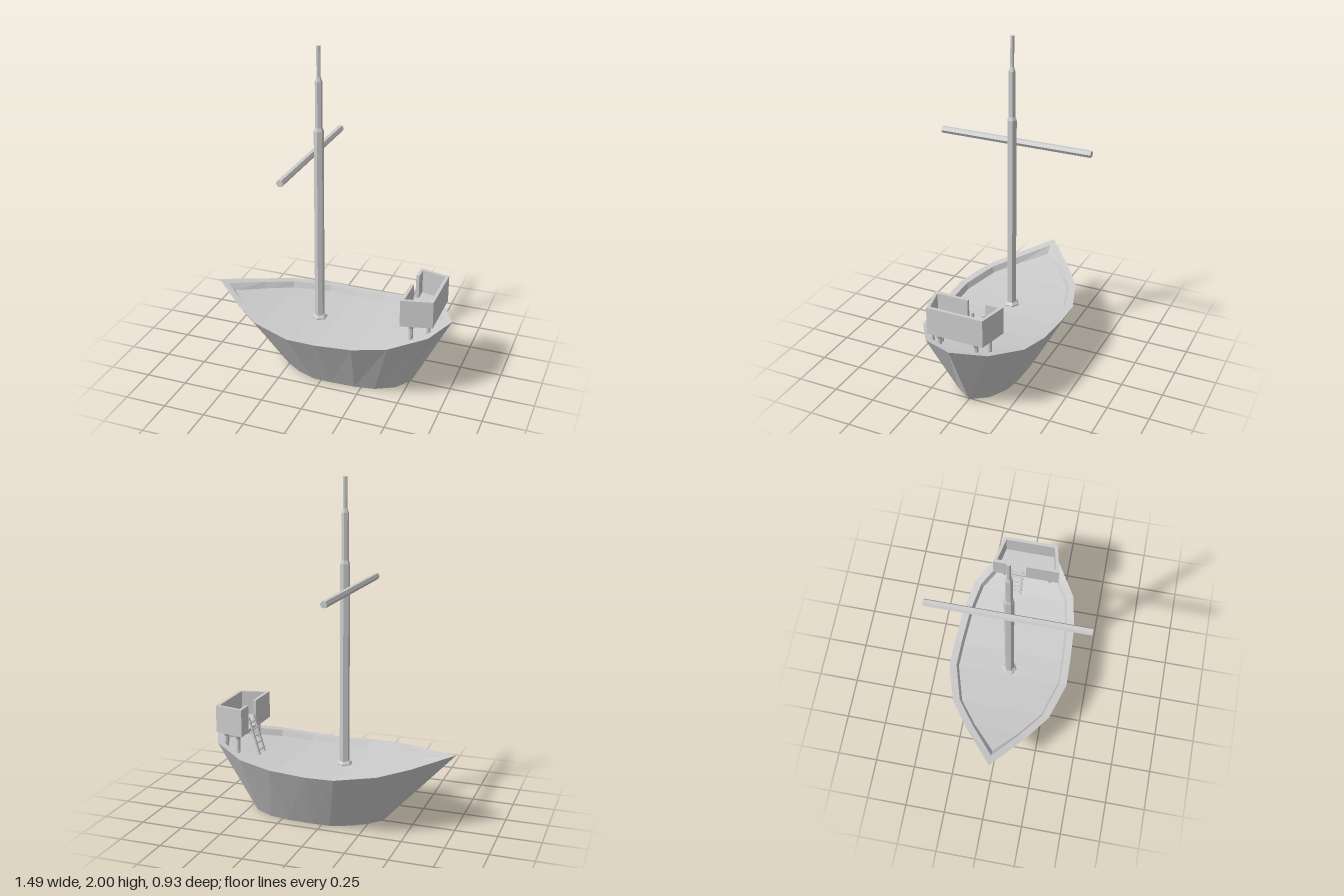
import * as THREE from 'three';

const mat = new THREE.MeshStandardMaterial({ color: 0xcccccc, flatShading: true, side: THREE.DoubleSide });

function add(parent, name, geometry, x = 0, y = 0, z = 0) {
  const mesh = new THREE.Mesh(geometry, mat);
  mesh.name = name;
  mesh.position.set(x, y, z);
  parent.add(mesh);
  return mesh;
}

// Height of the curved sheer line at a given x
const sheer = (x) => 0.357 + (x < 0.03 ? 0.165 : 0.195) * (x - 0.03) ** 2;

// Closed ring from half outline [x, halfWidth], bow to stern and back
function ring(half, height, flat = 1) {
  const right = half.slice(1, -1).reverse().map(([x, w]) => [x, -w]);
  return [...half, ...right].map(([x, w]) => new THREE.Vector3(x, height(x), w * flat));
}

// Hull skin, rim, inner wall and deck lofted through rings
function hullGeometry() {
  const keel = [[-0.32, 0], [-0.25, 0.08], [-0.16, 0.14], [-0.05, 0.183], [0.06, 0.185],
    [0.21, 0.18], [0.33, 0.16], [0.44, 0.1], [0.51, 0]];
  const outer = [[-0.745, 0], [-0.53, 0.185], [-0.37, 0.302], [-0.14, 0.375], [0.03, 0.372],
    [0.25, 0.36], [0.45, 0.32], [0.65, 0.192], [0.74, 0]];
  const inner = [[-0.68, 0], [-0.505, 0.15], [-0.355, 0.263], [-0.13, 0.331], [0.03, 0.329],
    [0.24, 0.317], [0.43, 0.28], [0.615, 0.165], [0.695, 0]];
  const floor = [[-0.64, 0], [-0.495, 0.137], [-0.35, 0.25], [-0.125, 0.318], [0.03, 0.316],
    [0.235, 0.304], [0.425, 0.267], [0.6, 0.155], [0.665, 0]];
  const ground = () => 0;
  const deck = (x) => sheer(x) - 0.035;
  const rings = [ring(keel, ground, 0), ring(keel, ground), ring(outer, sheer),
    ring(inner, sheer), ring(floor, deck), ring(floor, deck, 0)];
  const points = [];
  for (let r = 0; r < rings.length - 1; r++) {
    const a = rings[r], b = rings[r + 1];
    for (let i = 0; i < a.length; i++) {
      const j = (i + 1) % a.length;
      for (const t of [[a[i], a[j], b[j]], [a[i], b[j], b[i]]]) {
        if (new THREE.Triangle(...t).getArea() > 1e-7) points.push(...t);
      }
    }
  }
  const g = new THREE.BufferGeometry().setFromPoints(points);
  g.computeVertexNormals();
  return g;
}

// Horizontal plate from an x/z outline, between two heights
function plate(outline, bottom, top) {
  const shape = new THREE.Shape(outline.map(([x, z]) => new THREE.Vector2(x, z)));
  const g = new THREE.ExtrudeGeometry(shape, { depth: top - bottom, bevelEnabled: false });
  return g.rotateX(Math.PI / 2).translate(0, top, 0);
}

const lathe = (profile, sides) =>
  new THREE.LatheGeometry(profile.map(([r, y]) => new THREE.Vector2(r, y)), sides);

export function createModel() {
  const model = new THREE.Group();
  model.name = 'ship';
  add(model, 'hull', hullGeometry());

  // Stepped six-sided mast with a collar at the deck
  add(model, 'mast', lathe([[0, 0.31], [0.046, 0.31], [0.046, 0.332], [0.034, 0.345], [0.029, 0.345],
    [0.029, 1.515], [0.021, 1.535], [0.021, 1.8], [0.012, 1.825], [0.012, 2], [0, 2]], 6), -0.078);

  // Yard crossing in front of the mast
  const yard = new THREE.CylinderGeometry(0.021, 0.021, 0.93, 6);
  add(model, 'yard', yard.rotateY(Math.PI / 6).rotateX(Math.PI / 2), -0.119, 1.371, 0);

  // Raised stern platform with an entrance in its inner wall
  const castle = new THREE.Group();
  castle.name = 'sternCastle';
  model.add(castle);
  const outline = [[0.486, -0.211], [0.668, -0.17], [0.668, 0.17], [0.486, 0.211]];
  add(castle, 'castleFloor', plate(outline, 0.49, 0.508));
  add(castle, 'castleWalls', plate([[0.486, -0.11], ...outline, [0.486, 0], [0.505, 0],
    [0.505, 0.187], [0.649, 0.155], [0.649, -0.155], [0.505, -0.187], [0.505, -0.11]], 0.508, 0.655));

  // Legs with flared capitals
  for (const [x, w] of [[0.537, 0.15], [0.63, 0.112]]) {
    for (const side of [-1, 1]) {
      add(castle, 'leg', lathe([[0.013, sheer(x) - 0.045], [0.013, 0.455], [0.021, 0.478],
        [0.021, 0.492], [0, 0.492]], 8), x, 0, side * w);
    }
  }

  // Leaning ladder
  const ladder = new THREE.Group();
  ladder.name = 'ladder';
  castle.add(ladder);
  const foot = new THREE.Vector2(0.422, 0.345), head = new THREE.Vector2(0.492, 0.575);
  const lean = head.clone().sub(foot);
  for (const z of [-0.093, -0.022]) {
    const rail = add(ladder, 'rail', new THREE.BoxGeometry(0.01, lean.length(), 0.012),
      (foot.x + head.x) / 2, (foot.y + head.y) / 2, z);
    rail.rotation.z = -Math.atan2(lean.x, lean.y);
  }
  for (let i = 0; i < 5; i++) {
    const p = foot.clone().lerp(head, 0.14 + i * 0.18);
    add(ladder, 'rung', new THREE.CylinderGeometry(0.006, 0.006, 0.096, 6).rotateX(Math.PI / 2), p.x, p.y, -0.0575);
  }
  return model;
}
